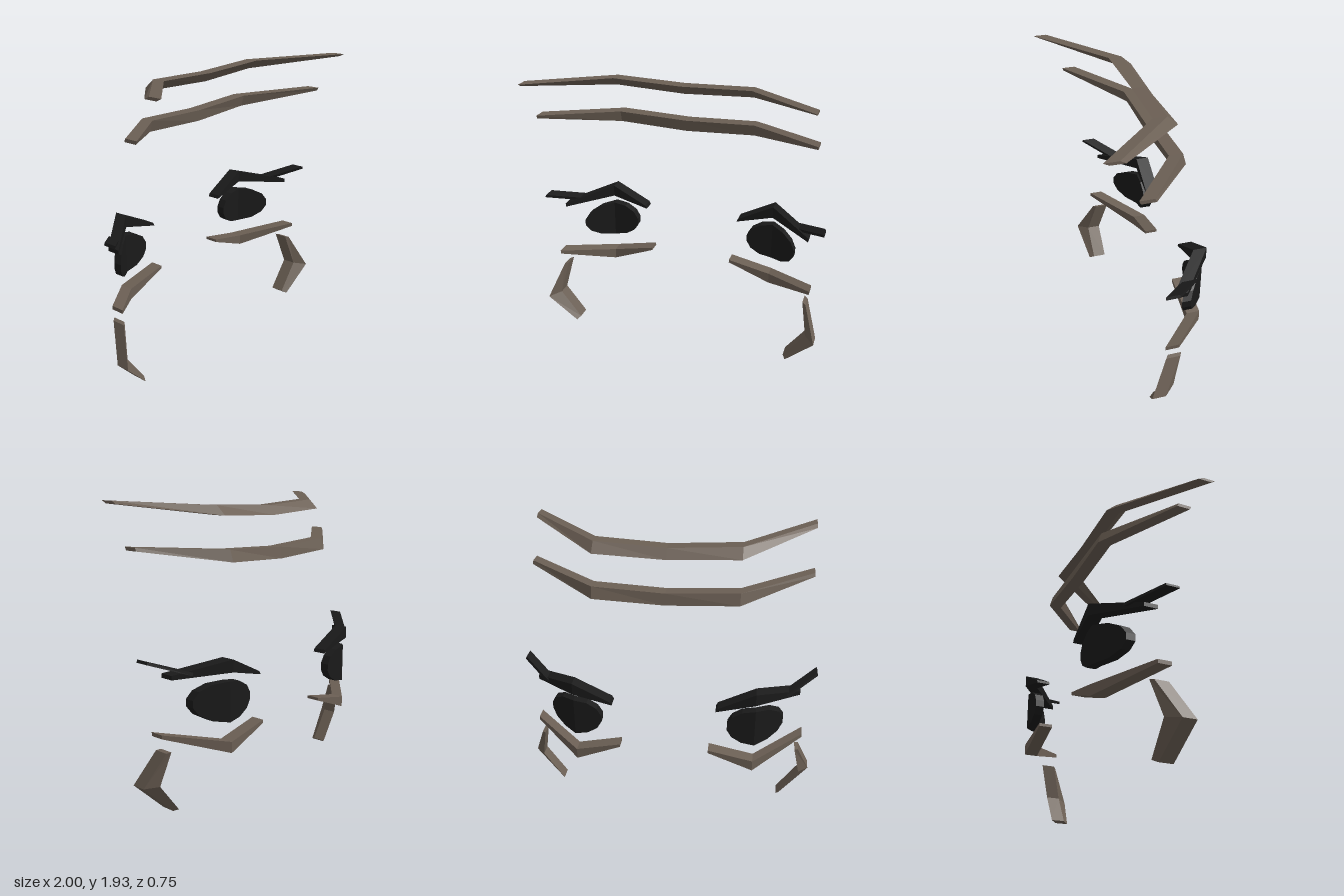
import * as THREE from 'three';

const brown = new THREE.MeshStandardMaterial({ color: 0x6b5f54, flatShading: true });
const black = new THREE.MeshStandardMaterial({ color: 0x1a1a1a, flatShading: true });

// Four-sided strip. Each section holds two rear edge points (a, b); depth pushes them along +z.
function strip(name, sections, depth, material) {
  const rings = sections.map(([a, b]) => [a, b, [b[0], b[1], b[2] + depth], [a[0], a[1], a[2] + depth]]);
  const tris = [];
  const quad = (p, q, r, s) => tris.push([p, q, r], [p, r, s]);
  for (let i = 0; i < rings.length - 1; i++) {
    for (let j = 0; j < 4; j++) {
      const k = (j + 1) % 4;
      quad(rings[i][j], rings[i][k], rings[i + 1][k], rings[i + 1][j]);
    }
  }
  const first = rings[0], last = rings[rings.length - 1];
  quad(first[3], first[2], first[1], first[0]);
  quad(last[0], last[1], last[2], last[3]);

  // Turn the faces outward whichever way the strip runs
  const o = new THREE.Vector3(...first[0]);
  const v = (p) => new THREE.Vector3(...p).sub(o);
  const volume = tris.reduce((sum, [p, q, r]) => sum + v(p).dot(v(q).cross(v(r))), 0);
  if (volume < 0) tris.forEach((t) => t.reverse());

  const geometry = new THREE.BufferGeometry();
  geometry.setAttribute('position', new THREE.Float32BufferAttribute(tris.flat(2), 3));
  geometry.computeVertexNormals();
  const mesh = new THREE.Mesh(geometry, material);
  mesh.name = name;
  return mesh;
}

const mirrored = (sections) => sections.map((s) => s.map(([x, y, z]) => [-x, y, z]));

export function createModel() {
  const group = new THREE.Group();

  // Forehead wrinkles: middle, bend and tip, mirrored into one strip
  const wrinkle = (name, half) => {
    const otherHalf = mirrored(half.slice(1)).reverse();
    group.add(strip(name, [...otherHalf, ...half], 0.09, brown));
  };
  wrinkle('upperForeheadWrinkle', [
    [[0, 1.82, -0.2], [0, 1.88, -0.152]],
    [[0.465, 1.84, -0.2], [0.465, 1.9, -0.133]],
    [[0.927, 1.912, 0.25], [0.927, 1.93, 0.285]],
  ]);
  wrinkle('lowerForeheadWrinkle', [
    [[0, 1.545, -0.262], [0, 1.62, -0.25]],
    [[0.465, 1.565, -0.262], [0.465, 1.64, -0.24]],
    [[0.927, 1.645, 0.08], [0.927, 1.667, 0.09]],
  ]);

  // Eye: rounded outline, flat on the inner half and swept back on the outer half
  const eye = [170, 145, 118, 90, 62, 35, 10].map((deg) => {
    const t = THREE.MathUtils.degToRad(deg);
    const dx = 0.185 * Math.cos(t), h = 0.13 * Math.sin(t);
    const z = -0.355 + 0.75 * Math.max(0, dx);
    return [[0.6 + dx, 0.74 - h, z], [0.6 + dx, 0.74 + h, z]];
  });

  // Parts that repeat on both sides: name, sections, depth, material
  const sideParts = [
    ['Eye', eye, 0.06, black],
    ['UpperLid', [
      [[0.34, 0.862, -0.375], [0.352, 0.885, -0.375]],
      [[0.597, 0.93, -0.38], [0.597, 1.01, -0.38]],
      [[0.885, 0.9, -0.15], [0.885, 0.927, -0.15]],
    ], 0.09, black],
    ['LashFlick', [
      [[0.8, 0.925, -0.24], [0.795, 0.945, -0.24]],
      [[0.997, 1.0, -0.06], [0.99, 1.018, -0.06]],
    ], 0.09, black],
    ['LowerLid', [
      [[0.298, 0.528, -0.362], [0.298, 0.548, -0.362]],
      [[0.597, 0.412, -0.362], [0.597, 0.485, -0.362]],
      [[0.927, 0.53, -0.095], [0.927, 0.555, -0.095]],
    ], 0.09, brown],
    ['CheekLine', [
      [[0.885, 0.443, -0.13], [0.91, 0.437, -0.112]],
      [[0.93, 0.215, -0.07], [1.0, 0.2, 0.005]],
      [[0.785, 0.015, -0.078], [0.805, 0, -0.045]],
    ], 0.092, brown],
  ];
  for (const [name, sections, depth, material] of sideParts) {
    group.add(strip('left' + name, sections, depth, material));
    group.add(strip('right' + name, mirrored(sections), depth, material));
  }
  return group;
}
